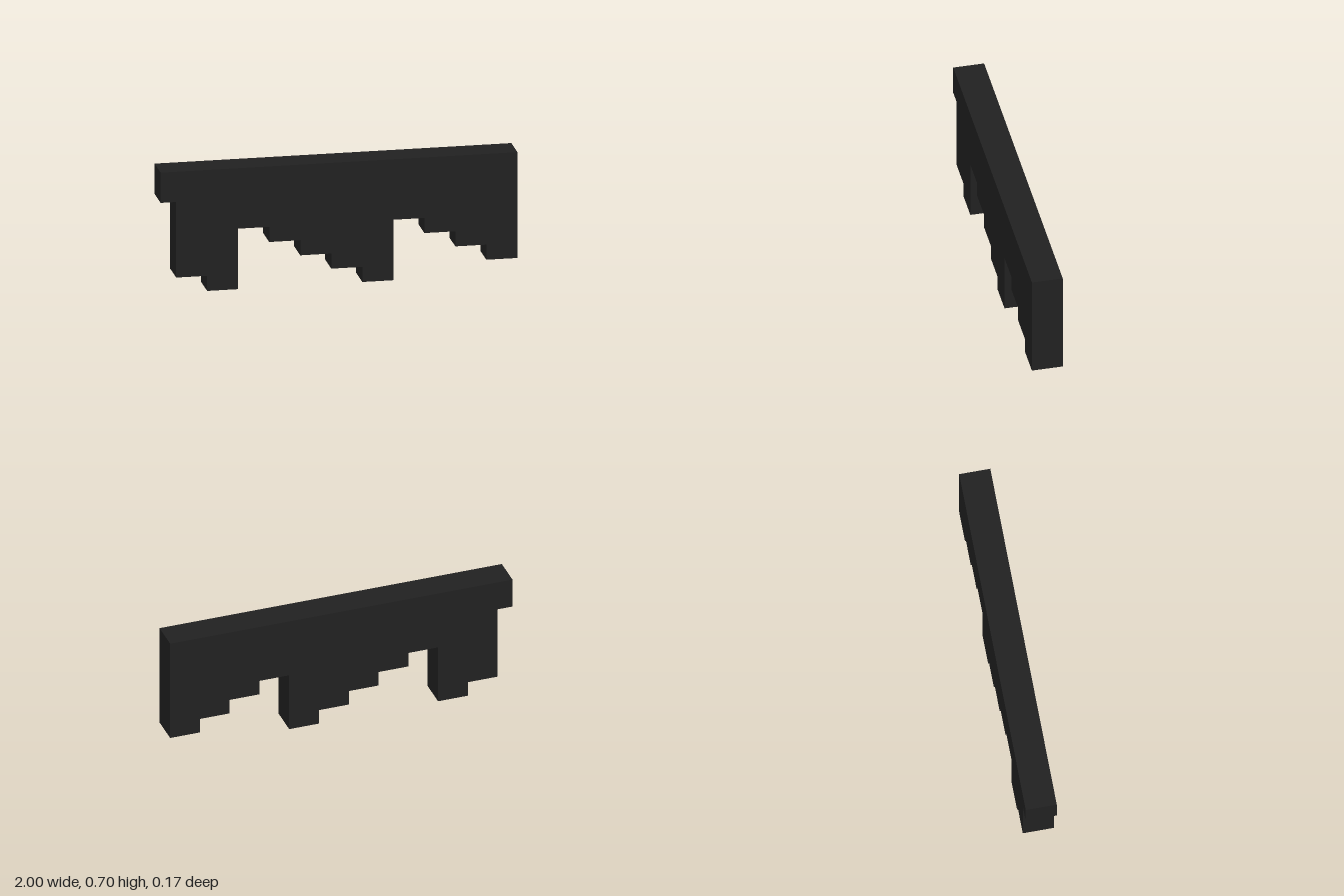
import * as THREE from 'three';

const U = 2 / 23; // grid unit: 23 long, 8 high, 2 deep

export function createModel() {
  const group = new THREE.Group();
  group.name = 'steppedValance';

  const charcoal = new THREE.MeshStandardMaterial({ color: 0x212121 });
  charcoal.name = 'charcoal';

  // Stepped underside: [width, bottom height] of each column from right to left end
  const columns = [[1, 6], ...[1, 0, 4, 3, 2, 1, 0, 4, 3, 2, 1].map((bottom) => [2, bottom])];
  const outline = [];
  let x = -11.5;
  for (const [width, bottom] of columns) {
    outline.push(new THREE.Vector2(x * U, bottom * U));
    x += width;
    outline.push(new THREE.Vector2(x * U, bottom * U));
  }
  // Straight top edge
  outline.push(new THREE.Vector2(1, 8 * U), new THREE.Vector2(-1, 8 * U));

  const geometry = new THREE.ExtrudeGeometry(new THREE.Shape(outline), {
    depth: 2 * U,
    bevelEnabled: false,
  });
  geometry.translate(0, 0, -U);

  const panel = new THREE.Mesh(geometry, charcoal);
  panel.name = 'steppedPanel';
  group.add(panel);
  return group;
}
